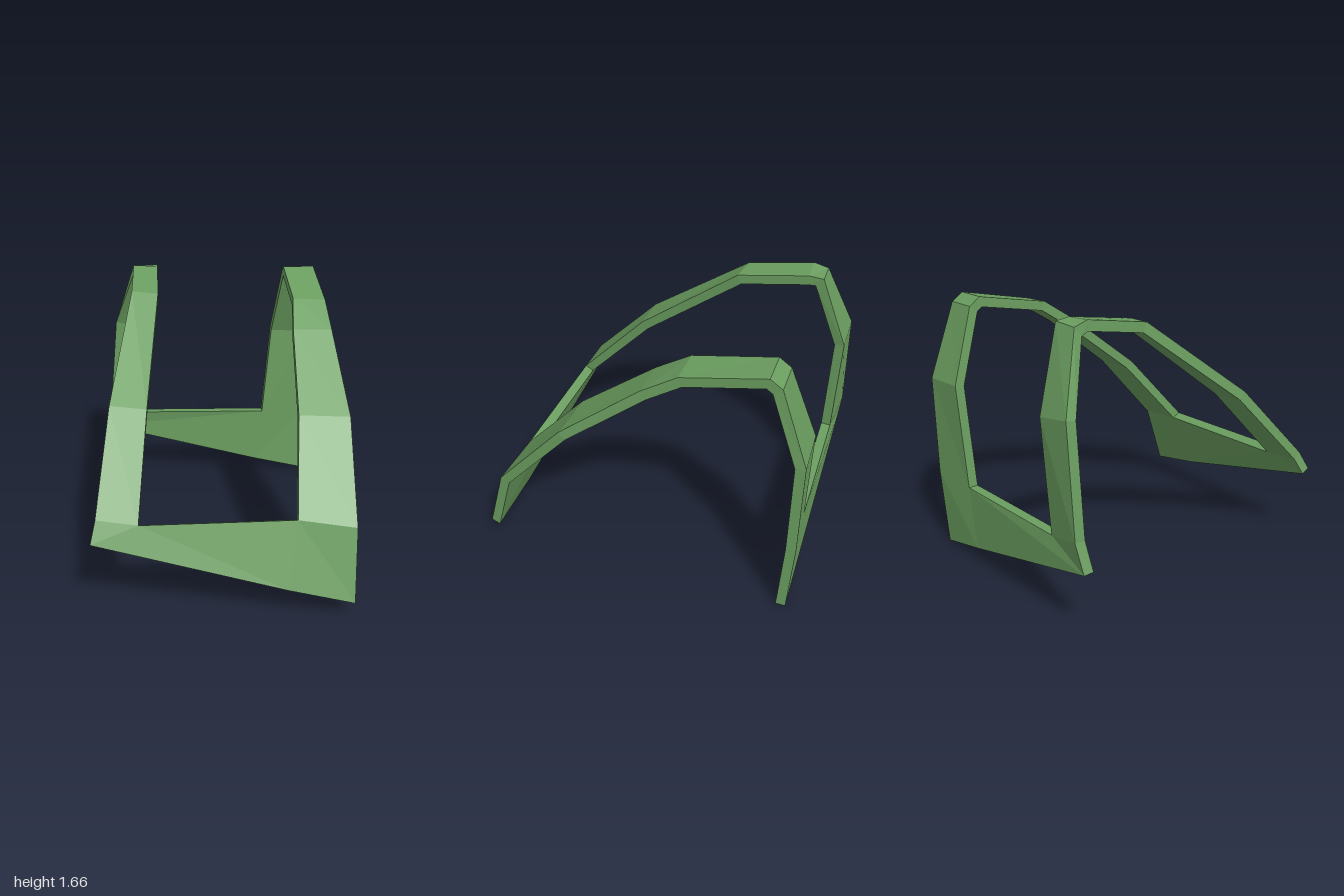
import * as THREE from 'three';

const THICKNESS = 0.06;

export function createModel() {
  const group = new THREE.Group();
  group.name = 'strapFrame';
  const green = new THREE.MeshStandardMaterial({ color: 0x6b9e60, flatShading: true });
  green.name = 'leaf green';

  // Corner points of the outer surface
  const points = [];
  const add = (...list) => list.map((p) => points.push(new THREE.Vector3(...p)) - 1);

  // Left strap, from the front panel over the top to the back panel
  const leftOuter = add(
    [0.745, 0.53, 0.87], [0.765, 1.02, 0.43], [0.725, 1.4, -0.06], [0.715, 1.53, -0.27],
    [0.715, 1.63, -0.75], [0.715, 1.58, -0.82], [0.74, 1.12, -0.985], [0.735, 0.5, -0.985]);
  const leftInner = add(
    [0.41, 0.57, 0.83], [0.46, 1.03, 0.41], [0.485, 1.4, -0.07], [0.51, 1.54, -0.28],
    [0.51, 1.63, -0.75], [0.51, 1.58, -0.82], [0.46, 1.13, -0.98], [0.405, 0.485, -0.965]);

  // Right strap, same direction
  const rightOuter = add(
    [-0.73, 0.6, 0.81], [-0.65, 1.09, 0.34], [-0.515, 1.59, -0.33], [-0.51, 1.66, -0.73],
    [-0.515, 1.635, -0.82], [-0.655, 1.21, -0.99], [-0.72, 0.56, -1.0]);
  const rightInner = add(
    [-0.49, 0.57, 0.83], [-0.43, 1.07, 0.36], [-0.35, 1.58, -0.3], [-0.35, 1.65, -0.73],
    [-0.355, 1.64, -0.82], [-0.42, 1.17, -0.985], [-0.46, 0.5, -0.965]);

  // Sloping lower edges of the front and back panels, left to right
  const [f0, f1, f2] = add([0.73, 0.11, 1.0], [0.35, 0.19, 0.965], [-0.76, 0.48, 0.875]);
  const [b0, b1, b2] = add([0.72, 0, -0.96], [0.35, 0.09, -0.965], [-0.77, 0.39, -0.985]);

  const strip = (a, b) => a.slice(1).map((_, i) => [a[i], a[i + 1], b[i + 1], b[i]]);
  const [lo, li, ro, ri] = [leftOuter, leftInner, rightOuter, rightInner].map((s) => s[s.length - 1]);
  const parts = {
    leftStrap: strip(leftOuter, leftInner),
    rightStrap: strip(rightInner, rightOuter),
    frontPanel: [
      [f0, leftOuter[0], leftInner[0], f1],
      [f1, leftInner[0], rightInner[0], f2],
      [f2, rightInner[0], rightOuter[0]],
    ],
    backPanel: [[lo, b0, b1, li], [li, b1, b2, ri], [ri, b2, ro]],
  };

  // Mean face normals at each corner and the set of directed edges
  const sums = points.map(() => new THREE.Vector3());
  const counts = points.map(() => 0);
  const edges = new Set();
  for (const face of Object.values(parts).flat()) {
    const p = face.map((i) => points[i]);
    const d1 = p[2].clone().sub(p[0]);
    const d2 = (p[3] || p[2]).clone().sub(p[1]);
    const normal = d1.cross(d2).normalize();
    face.forEach((v, k) => {
      sums[v].add(normal);
      counts[v]++;
      edges.add(v + '>' + face[(k + 1) % face.length]);
    });
  }

  // Inner surface, offset with mitred corners
  const inner = points.map((p, i) => {
    const n = sums[i].divideScalar(counts[i]);
    return p.clone().addScaledVector(n, -THICKNESS / n.lengthSq());
  });

  // Each part has an outer skin, an inner skin and rims along the open edges
  for (const [name, faces] of Object.entries(parts)) {
    const positions = [];
    const polygon = (corners) => {
      for (let k = 1; k < corners.length - 1; k++) {
        for (const c of [corners[0], corners[k], corners[k + 1]]) positions.push(c.x, c.y, c.z);
      }
    };
    for (const face of faces) {
      polygon(face.map((i) => points[i]));
      // Rotated so that both skins split along the same diagonal
      const back = [face[0], ...face.slice(1).reverse()];
      polygon(back.map((i) => inner[i]));
      face.forEach((a, k) => {
        const b = face[(k + 1) % face.length];
        if (!edges.has(b + '>' + a)) polygon([points[b], points[a], inner[a], inner[b]]);
      });
    }
    const geometry = new THREE.BufferGeometry();
    geometry.setAttribute('position', new THREE.Float32BufferAttribute(positions, 3));
    geometry.computeVertexNormals();
    const mesh = new THREE.Mesh(geometry, green);
    mesh.name = name;
    group.add(mesh);
  }
  return group;
}
